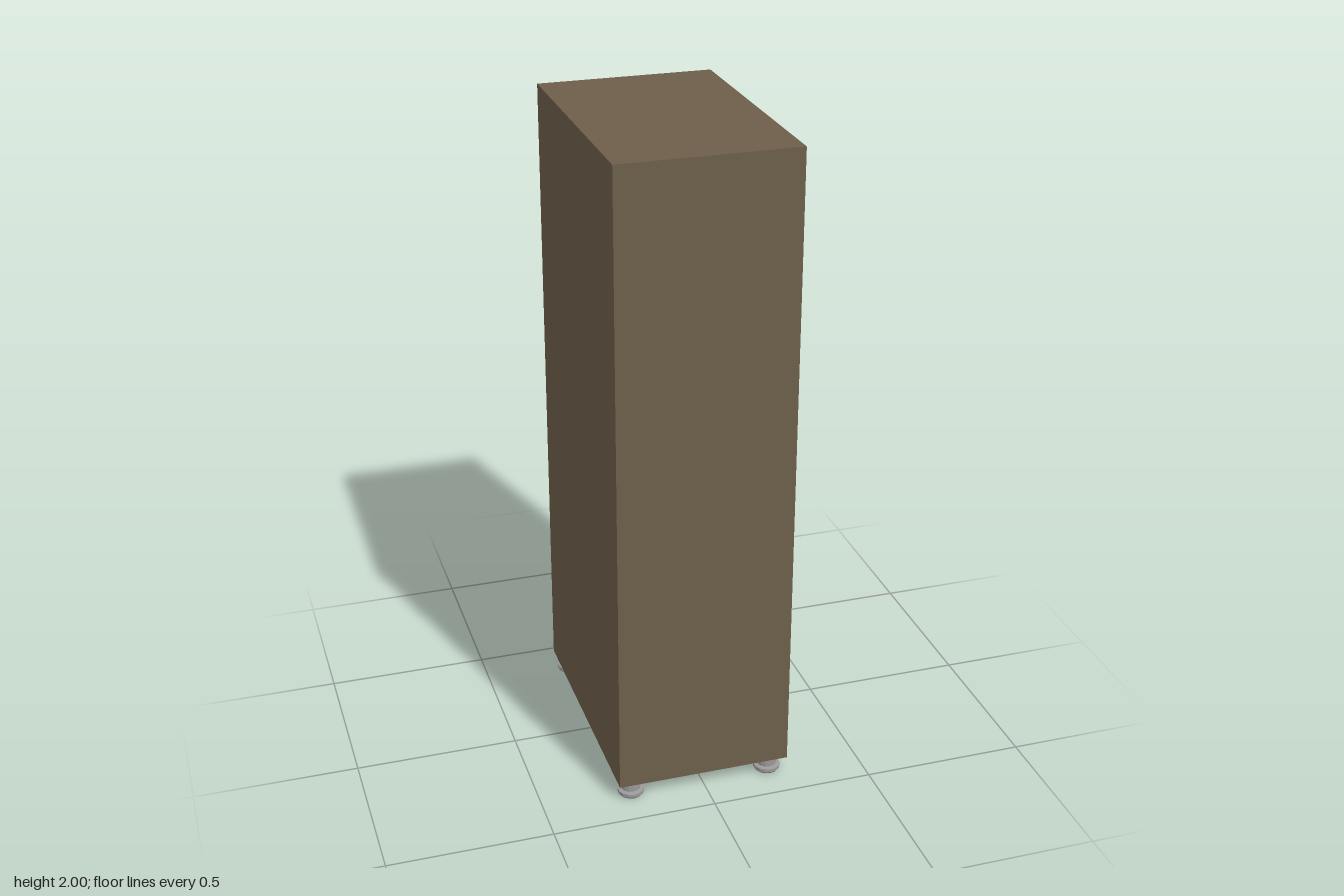
import * as THREE from 'three';

export function createModel() {
  const root = new THREE.Group();
  root.name = 'medicineCabinet';
  const mat = (name, color) => {
    const m = new THREE.MeshStandardMaterial({ color });
    m.name = name;
    return m;
  };
  const wood = mat('brown', 0x6d5e4a), white = mat('white', 0xd4d4d4), blue = mat('blue', 0x419fc0);
  const red = mat('red', 0xcc3d38), cream = mat('cream', 0xd8bf80), dark = mat('darkGreen', 0x424d47);
  const clay = mat('clay', 0xa95f50), navy = mat('navy', 0x55658d), metal = mat('metal', 0x999999);
  const black = mat('black', 0x2a2c2b);

  const add = (parent, name, geo, material) => {
    const m = new THREE.Mesh(geo, material);
    m.name = name;
    parent.add(m);
    return m;
  };
  const group = (name, parent = root) => {
    const g = new THREE.Group();
    g.name = name;
    parent.add(g);
    return g;
  };
  // Box given by its x, y and z ranges
  const box = (parent, name, material, x0, x1, y0, y1, z0, z1) => {
    const m = add(parent, name, new THREE.BoxGeometry(x1 - x0, y1 - y0, Math.abs(z1 - z0)), material);
    m.position.set((x0 + x1) / 2, (y0 + y1) / 2, (z0 + z1) / 2);
    return m;
  };
  // Faceted lathe of [radius, height] points
  const turned = (parent, name, material, pts, sides = 12) => {
    const g = new THREE.LatheGeometry(pts.map(p => new THREE.Vector2(...p)), sides).toNonIndexed();
    g.computeVertexNormals();
    return add(parent, name, g, material);
  };
  // Outline seen from the open side (u = -z, y), extruded along +x
  const outline = pts => new THREE.Shape(pts.map(p => new THREE.Vector2(...p)));
  const rect = (u0, u1, y0, y1) => [[u0, y0], [u1, y0], [u1, y1], [u0, y1]];
  const extrudeX = (parent, name, material, shape, x0, depth) => {
    const g = new THREE.ExtrudeGeometry(shape, { depth, bevelEnabled: false, curveSegments: 6 });
    g.rotateY(Math.PI / 2);
    const m = add(parent, name, g, material);
    m.position.x = x0;
    return m;
  };

  // Cabinet: solid back and a frame with four shelf openings
  const cabinet = group('cabinet');
  box(cabinet, 'cabinetBack', wood, -0.27, 0.07, 0.05, 2, -0.405, 0.405);
  const frame = outline(rect(-0.405, 0.405, 0.05, 2));
  for (const [y0, y1] of [[0.073, 0.476], [0.502, 0.884], [0.908, 1.301], [1.322, 1.705]])
    frame.holes.push(outline(rect(-0.373, 0.373, y0, y1)));
  extrudeX(cabinet, 'shelfFrame', wood, frame, 0.07, 0.195);

  // Sign board with a rounded badge
  const sign = group('sign');
  box(sign, 'signBoard', white, 0.265, 0.268, 1.757, 1.98, -0.36, 0.36);
  const badge = new THREE.Shape();
  badge.moveTo(-0.12, 1.98);
  badge.lineTo(-0.12, 1.9);
  badge.quadraticCurveTo(-0.12, 1.868, -0.088, 1.868);
  badge.lineTo(0.088, 1.868);
  badge.quadraticCurveTo(0.12, 1.868, 0.12, 1.9);
  badge.lineTo(0.12, 1.98);
  extrudeX(sign, 'signBadge', blue, badge, 0.268, 0.002);
  box(sign, 'badgeTopEdge', red, 0.266, 0.2698, 1.979, 1.981, -0.12, 0.12);

  // Feet
  for (const x of [-0.225, 0.213]) for (const z of [-0.365, 0.365])
    turned(root, 'foot', metal, [[0, 0], [0.037, 0], [0.041, 0.006], [0.041, 0.016], [0.029, 0.019],
      [0.029, 0.036], [0.038, 0.038], [0.038, 0.051], [0, 0.051]], 14).position.set(x, 0, z);

  // Top shelf: three dispensers
  for (const z of [0.26, 0.127, 0.011]) {
    const g = group('dispenserBottle');
    g.position.set(0.2, 1.322, z);
    extrudeX(g, 'dispenserBody', wood, outline([[-0.052, 0], [0.052, 0], [0.052, 0.245], [0.03, 0.273],
      [-0.03, 0.273], [-0.052, 0.245]]), -0.04, 0.08);
    box(g, 'dispenserBand', dark, -0.042, 0.042, 0.125, 0.23, -0.054, 0.054);
    box(g, 'dispenserLabel', white, 0.04, 0.043, 0.058, 0.086, -0.04, 0.04);
    turned(g, 'dispenserPump', dark, [[0.036, 0.27], [0.036, 0.285], [0.025, 0.29], [0.025, 0.305],
      [0.014, 0.306], [0.017, 0.312], [0.017, 0.332], [0, 0.335]]);
  }
  // Top shelf: two red flasks
  for (const z of [-0.135, -0.286]) {
    const g = group('redFlask');
    g.position.set(0.2, 1.322, z);
    extrudeX(g, 'flaskBody', wood, outline([[-0.062, 0.018], [0.062, 0.018], [0.062, 0.185], [0.03, 0.228],
      [-0.03, 0.228], [-0.062, 0.185]]), -0.04, 0.08);
    box(g, 'flaskBase', black, -0.04, 0.04, 0, 0.018, -0.062, 0.062);
    extrudeX(g, 'flaskLabel', red, outline([[-0.053, 0.03], [0.053, 0.03], [0.053, 0.175], [0.04, 0.188],
      [-0.04, 0.188], [-0.053, 0.175]]), 0.04, 0.003);
    turned(g, 'flaskCap', red, [[0.022, 0.226], [0.022, 0.234], [0.028, 0.236], [0.028, 0.272], [0.022, 0.282],
      [0, 0.282]]);
  }

  // Second shelf: two wide packs with a slanted stripe
  for (const [z, stripe] of [[0.267, red], [0.119, blue]]) {
    const g = group('widePack');
    g.position.set(0, 0.908, z);
    box(g, 'packBox', white, 0.12, 0.23, 0, 0.122, -0.066, 0.066);
    extrudeX(g, 'packStripe', stripe, outline([[-0.066, 0.024], [0.066, 0.062], [0.066, 0.106],
      [-0.066, 0.066]]), 0.23, 0.002);
  }
  // Second shelf: four narrow packs with a band
  [[-0.071, blue], [-0.161, blue], [-0.239, red], [-0.329, red]].forEach(([z, band], i) => {
    const g = group('narrowPack');
    g.position.set(0, 0.908, z);
    box(g, 'packBox', white, 0.12, 0.23, 0, 0.122, -0.029, 0.029);
    const top = i < 2 ? 0.114 : 0.106;
    box(g, 'packBand', band, 0.119, 0.232, 0.064, top, -0.03, 0.03);
  });

  // Third shelf: round bottles with wrapped label, collar, cap and a cross
  const bottles = [
    [0.291, white, clay, clay, clay], [0.138, dark, blue, black, blue], [-0.011, dark, blue, black, blue],
    [-0.14, cream, cream, cream, black], [-0.283, cream, cream, cream, black],
  ];
  for (const [z, label, collar, cap, mark] of bottles) {
    const g = group('roundBottle');
    g.position.set(0.2, 0.502, z);
    turned(g, 'bottleGlass', dark, [[0, 0], [0.055, 0], [0.058, 0.006], [0.058, 0.2], [0.052, 0.232],
      [0.034, 0.268], [0.024, 0.29], [0.019, 0.325], [0, 0.325]]);
    turned(g, 'bottleCollar', collar, [[0.022, 0.288], [0.027, 0.288], [0.025, 0.298], [0.021, 0.298]]);
    turned(g, 'bottleCapRing', black, [[0.018, 0.312], [0.026, 0.314], [0.026, 0.332], [0.02, 0.334]]);
    turned(g, 'bottleCap', cap, [[0.022, 0.332], [0.022, 0.362], [0.018, 0.366], [0, 0.366]]);
    if (label !== dark)
      turned(g, 'bottleLabel', label, [[0.058, 0.02], [0.0605, 0.02], [0.0605, 0.175], [0.058, 0.175]]);
    // Marks sit on the facets either side of the middle
    const left = group('crossMark', g);
    left.rotation.y = -Math.PI / 12;
    box(left, 'crossUpright', mark, 0.057, 0.061, 0.112, 0.146, -0.005, 0.005);
    box(left, 'crossBar', mark, 0.057, 0.0611, 0.124, 0.134, -0.015, 0.015);
    const right = group('smallMarks', g);
    right.rotation.y = Math.PI / 6;
    if (label === white) box(right, 'sidePanel', clay, 0.057, 0.0615, 0.06, 0.165, -0.014, 0.014);
    else for (const y of [0.055, 0.07])
      box(right, 'markDash', mark, 0.057, 0.0612, y, y + 0.008, -0.01, 0.01);
  }

  // Bottom shelf: two tall cartons
  [[0.243, -0.064, -0.03], [0.077, -0.022, -0.017]].forEach(([z, s0, s1]) => {
    const g = group('tallCarton');
    g.position.set(0, 0.073, z);
    box(g, 'cartonBox', clay, 0.08, 0.22, 0, 0.322, -0.065, 0.065);
    box(g, 'cartonStripe', red, 0.22, 0.222, 0, 0.322, s0, s1);
  });
  // Bottom shelf: storage box with a lid and a label
  const storage = group('storageBox');
  box(storage, 'storageBody', wood, 0.1, 0.228, 0.073, 0.16, -0.343, -0.036);
  box(storage, 'storageLid', navy, 0.095, 0.232, 0.16, 0.203, -0.347, -0.032);
  box(storage, 'storageLabel', white, 0.228, 0.231, 0.084, 0.143, -0.333, -0.196);

  return root;
}
